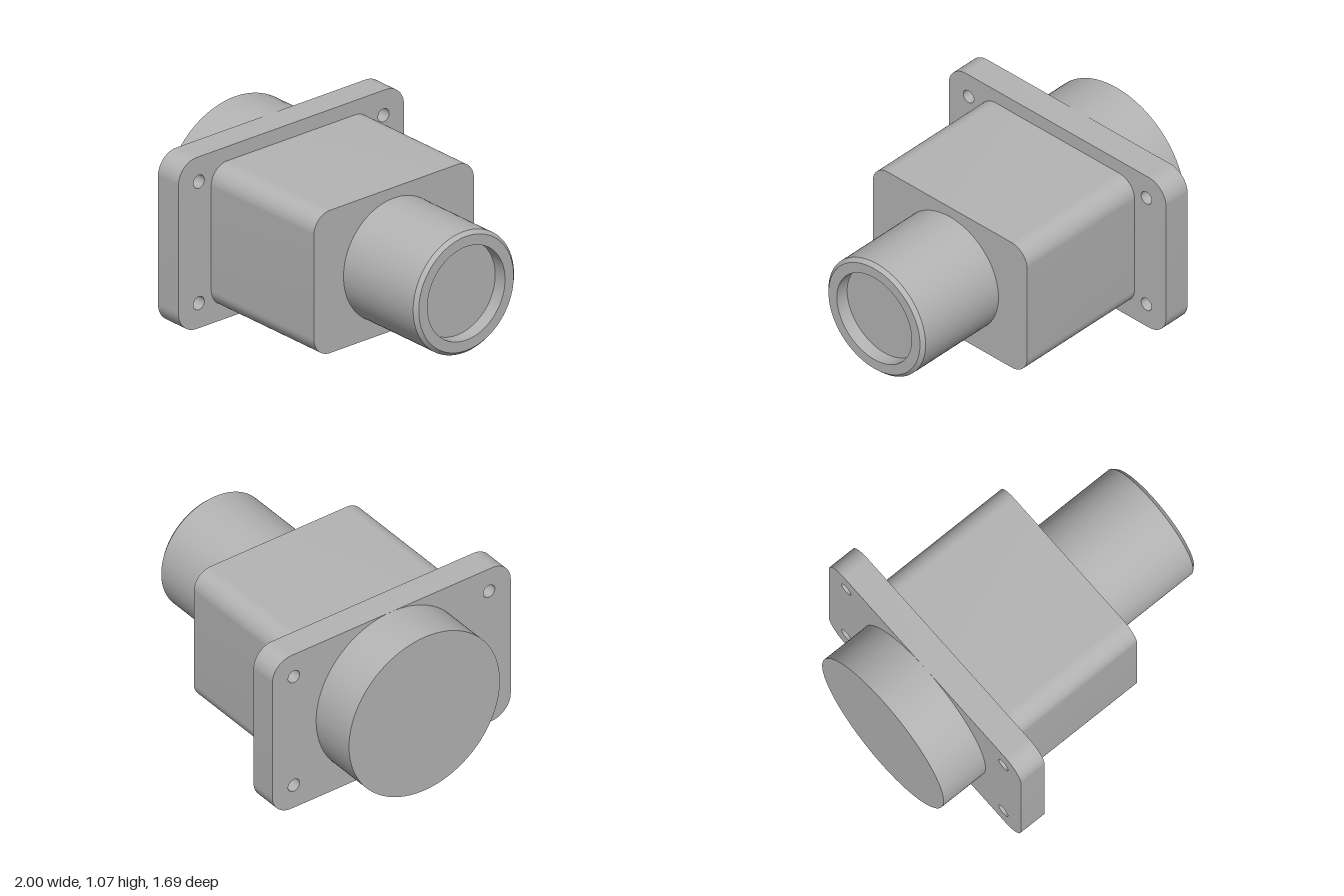
import * as THREE from 'three';
import { toCreasedNormals } from 'three/addons/utils/BufferGeometryUtils.js';

const AXIS_Y = 0.533;

// Rounded rectangle centred on the origin (w along z, h along y)
function roundedRect(w, h, r) {
  const x = w / 2, y = h / 2, s = new THREE.Shape();
  s.moveTo(-x + r, -y);
  s.lineTo(x - r, -y);
  s.absarc(x - r, -y + r, r, -Math.PI / 2, 0);
  s.lineTo(x, y - r);
  s.absarc(x - r, y - r, r, 0, Math.PI / 2);
  s.lineTo(-x + r, y);
  s.absarc(-x + r, y - r, r, Math.PI / 2, Math.PI);
  s.lineTo(-x, -y + r);
  s.absarc(-x + r, -y + r, r, Math.PI, Math.PI * 1.5);
  return s;
}

// Extrudes a shape along x from x0 to x1
function extrudeX(shape, x0, x1) {
  const g = new THREE.ExtrudeGeometry(shape, { depth: x1 - x0, bevelEnabled: false, curveSegments: 20 });
  g.rotateY(Math.PI / 2).translate(x0, AXIS_Y, 0);
  return toCreasedNormals(g, 0.5);
}

// Turns a profile of [radius, x] pairs about the x axis
function turnX(profile) {
  const g = new THREE.LatheGeometry(profile.map(([r, x]) => new THREE.Vector2(r, x)), 96);
  g.rotateZ(-Math.PI / 2).translate(0, AXIS_Y, 0);
  return toCreasedNormals(g, 0.5);
}

export function createModel() {
  const group = new THREE.Group();
  const metal = new THREE.MeshStandardMaterial({ color: 0xb4b4b4 });
  metal.name = 'grey metal';
  const add = (name, geometry) => {
    const mesh = new THREE.Mesh(geometry, metal);
    mesh.name = name;
    group.add(mesh);
  };

  // Round rear boss
  add('rearBoss', turnX([[0, -1], [0.533, -1], [0.533, -0.69], [0, -0.69]]));

  // Mounting flange with four bolt holes
  const plate = roundedRect(1.686, 1.066, 0.135);
  for (const sx of [-1, 1]) for (const sy of [-1, 1]) {
    const hole = new THREE.Path();
    hole.absarc(sx * 0.69, sy * 0.378, 0.041, 0, Math.PI * 2, true);
    plate.holes.push(hole);
  }
  add('mountingFlange', extrudeX(plate, -0.69, -0.513));

  // Rounded housing block
  add('housing', extrudeX(roundedRect(1.196, 0.888, 0.12), -0.513, 0.375));

  // Chamfered spigot with a shallow bore
  add('spigot', turnX([
    [0, 0.375], [0.377, 0.375], [0.377, 0.977], [0.355, 1],
    [0.29, 1], [0.29, 0.915], [0, 0.915],
  ]));

  return group;
}
